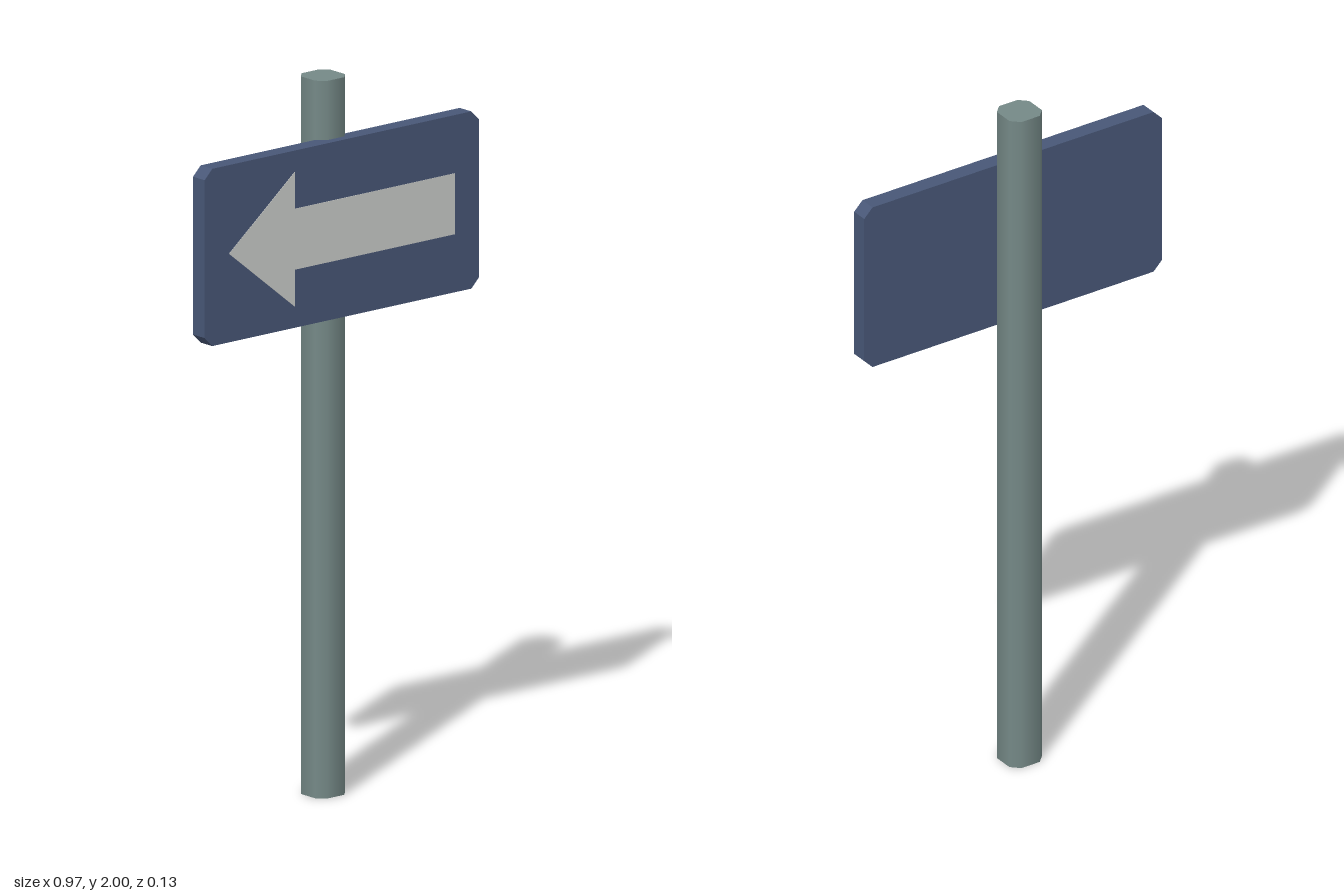
import * as THREE from 'three';

const paint = (name, color, extra = {}) =>
  new THREE.MeshStandardMaterial({ name, color, ...extra });

function polygon(points) {
  return new THREE.Shape(points.map(([x, y]) => new THREE.Vector2(x, y)));
}

function part(name, geometry, material) {
  const mesh = new THREE.Mesh(geometry, material);
  mesh.name = name;
  return mesh;
}

// Turn a regular octagon section into a square with cut corners
const HALF = 0.053, FLAT = 0.03;
function squareOff(geometry) {
  const p = geometry.attributes.position;
  const snap = (v) => Math.abs(v) < 1e-4 ? 0 : Math.sign(v) * (Math.abs(v) > 0.04 ? HALF : FLAT);
  for (let i = 0; i < p.count; i++) {
    p.setX(i, snap(p.getX(i)));
    p.setZ(i, snap(p.getZ(i)));
  }
  return geometry;
}

export function createModel() {
  const model = new THREE.Group();
  model.name = 'arrowSign';

  const postGrey = paint('postGrey', 0x758987, { side: THREE.DoubleSide });
  const boardBlue = paint('boardBlue', 0x485777);
  const arrowWhite = paint('arrowWhite', 0xcaccca);

  // Post: smooth eight-sided tube, closed at the top
  const post = new THREE.Group();
  post.name = 'post';
  const radius = HALF / Math.cos(Math.PI / 8);
  const tube = new THREE.CylinderGeometry(radius, radius, 2, 8, 1, true, Math.PI / 8);
  const cap = new THREE.CircleGeometry(radius, 8, Math.PI / 8).rotateX(-Math.PI / 2);
  post.add(part('postTube', squareOff(tube).translate(0, 1, 0), postGrey));
  post.add(part('postCap', squareOff(cap).translate(0, 2, 0), postGrey));
  post.position.z = -0.013;
  model.add(post);

  // Board: rectangle with cut corners
  const w = 0.486, h = 0.247, c = 0.027, midY = 1.588;
  const outline = polygon([
    [-w + c, -h], [w - c, -h], [w, -h + c], [w, h - c],
    [w - c, h], [-w + c, h], [-w, h - c], [-w, -h + c],
  ]);
  const board = part('board', new THREE.ExtrudeGeometry(outline, { depth: 0.048, bevelEnabled: false }), boardBlue);
  board.position.set(0, midY, 0.017);
  model.add(board);

  // Arrow: thin plate on the front of the board
  const arrowShape = polygon([
    [-0.4, 0], [-0.167, -0.188], [-0.167, -0.085], [0.4, -0.085],
    [0.4, 0.085], [-0.167, 0.085], [-0.167, 0.188],
  ]);
  const arrow = part('arrow', new THREE.ExtrudeGeometry(arrowShape, { depth: 0.002, bevelEnabled: false }), arrowWhite);
  arrow.position.set(0, midY, 0.064);
  model.add(arrow);

  return model;
}
